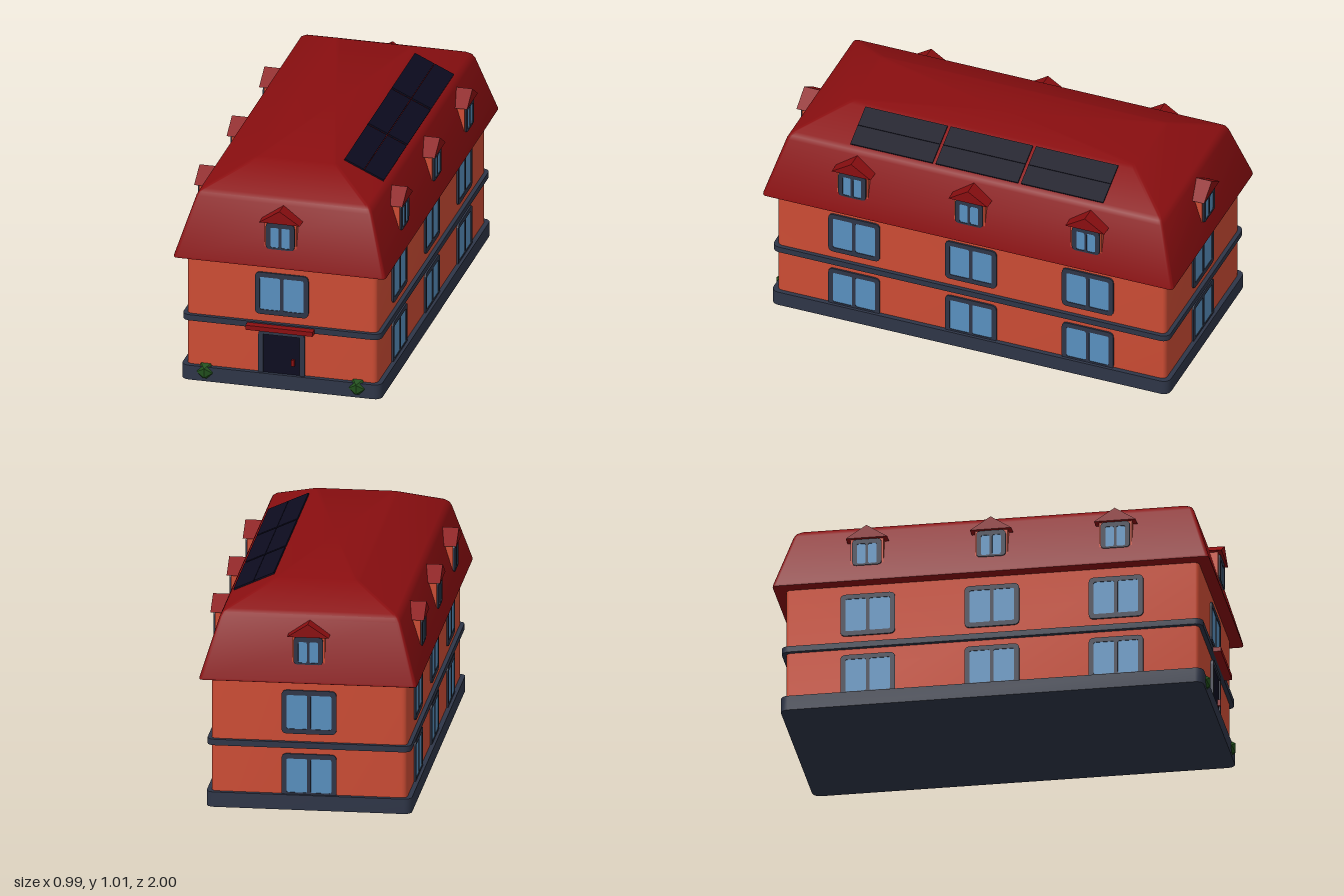
import * as THREE from 'three';
import { toCreasedNormals } from 'three/addons/utils/BufferGeometryUtils.js';

const paint = (name, color) => {
  const m = new THREE.MeshStandardMaterial({ color });
  m.name = name;
  return m;
};

// Closed solid from stacked rounded rectangles: [halfX, halfZ, y, cornerRadius]
function loft(rings) {
  const steps = 4, n = 4 * (steps + 1), pos = [], idx = [];
  for (const [hx, hz, y, r] of rings) {
    for (let c = 0; c < 4; c++) {
      const sx = c === 0 || c === 3 ? 1 : -1, sz = c < 2 ? 1 : -1;
      for (let s = 0; s <= steps; s++) {
        const a = (c + s / steps) * Math.PI / 2;
        pos.push(sx * (hx - r) + r * Math.cos(a), y, sz * (hz - r) + r * Math.sin(a));
      }
    }
  }
  const last = (rings.length - 1) * n, bottom = rings.length * n, top = bottom + 1;
  pos.push(0, rings[0][2], 0, 0, rings[rings.length - 1][2], 0);
  for (let i = 0; i < n; i++) {
    const j = (i + 1) % n;
    for (let k = 0; k < last; k += n) {
      idx.push(k + i, k + n + i, k + j, k + j, k + n + i, k + n + j);
    }
    idx.push(bottom, i, j, top, last + j, last + i);
  }
  const g = new THREE.BufferGeometry();
  g.setAttribute('position', new THREE.Float32BufferAttribute(pos, 3));
  g.setIndex(idx);
  return toCreasedNormals(g, 0.6);
}

// Rounded rectangle outline, added to a Shape or Path
function roundRect(p, x0, y0, x1, y1, r) {
  p.moveTo(x0 + r, y0);
  p.lineTo(x1 - r, y0).quadraticCurveTo(x1, y0, x1, y0 + r);
  p.lineTo(x1, y1 - r).quadraticCurveTo(x1, y1, x1 - r, y1);
  p.lineTo(x0 + r, y1).quadraticCurveTo(x0, y1, x0, y1 - r);
  p.lineTo(x0, y0 + r).quadraticCurveTo(x0, y0, x0 + r, y0);
  return p;
}

const extrude = (shape, depth) =>
  new THREE.ExtrudeGeometry(shape, { depth, bevelEnabled: false, curveSegments: 4 });

export function createModel() {
  const wall = paint('terracotta wall', 0xcc4c34);
  const red = paint('dark red roof', 0x8a0e10);
  const slate = paint('slate trim', 0x2e3547);
  const glass = paint('blue glass', 0x588fbe);
  const navy = paint('dark navy', 0x0c0b1f);
  const green = paint('bush green', 0x214f1c);

  const house = new THREE.Group();
  house.name = 'house';
  const add = (parent, name, geometry, material, x = 0, y = 0, z = 0) => {
    const m = new THREE.Mesh(geometry, material);
    m.name = name;
    m.position.set(x, y, z);
    parent.add(m);
    return m;
  };
  const slab = (hx, hz, y0, y1, r) => loft([[hx, hz, y0, r], [hx, hz, y1, r]]);

  // Main masses
  add(house, 'base', slab(0.467, 0.967, 0, 0.07, 0.035), slate);
  add(house, 'walls', slab(0.445, 0.945, 0.03, 0.62, 0.025), wall);
  add(house, 'floorBand', slab(0.464, 0.964, 0.29, 0.318, 0.035), slate);
  add(house, 'roof', loft([
    [0.485, 0.987, 0.604, 0.012], [0.495, 0.998, 0.608, 0.018], [0.494, 0.997, 0.618, 0.018],
    [0.411, 0.916, 0.886, 0.018], [0.401, 0.906, 0.905, 0.018], [0.385, 0.89, 0.918, 0.018],
    [0.2, 0.705, 1.003, 0.018], [0.18, 0.685, 1.01, 0.015],
  ]), red);

  // Window facing +z: frame with two openings and glass behind
  function makeWindow(y0, y1, half, border, mullion, radius, sill = border) {
    const g = new THREE.Group();
    g.name = 'window';
    const frame = roundRect(new THREE.Shape(), -half, y0, half, y1, radius);
    const inner = half - border;
    for (const s of [-1, 1]) {
      const a = s * mullion, b = s * inner;
      frame.holes.push(roundRect(new THREE.Path(),
        Math.min(a, b), y0 + sill, Math.max(a, b), y1 - border, 0.008));
    }
    add(g, 'windowFrame', extrude(frame, 0.008), slate);
    const h = y1 - y0 - border - sill;
    add(g, 'windowGlass', new THREE.BoxGeometry(inner * 2 + 0.01, h + 0.006, 0.005), glass,
      0, y0 + sill + h / 2, 0.0025);
    return g;
  }

  // Dormer facing +z, its face at local z = 0
  function makeDormer() {
    const g = new THREE.Group();
    g.name = 'dormer';
    add(g, 'dormerWall', new THREE.BoxGeometry(0.15, 0.13, 0.08), wall, 0, 0.765, -0.04);
    const gable = new THREE.Shape([
      new THREE.Vector2(-0.095, 0.823), new THREE.Vector2(0.095, 0.823), new THREE.Vector2(0, 0.885),
    ]);
    add(g, 'dormerRoof', extrude(gable, 0.118), red, 0, 0, -0.1);
    g.add(makeWindow(0.692, 0.82, 0.067, 0.022, 0.006, 0.02, 0.008));
    return g;
  }

  // Set a part against a face of the house: turn it, then slide along and out
  function place(part, angle, along, out) {
    part.rotation.y = angle;
    part.position.set(along * Math.cos(angle) + out * Math.sin(angle), 0,
      -along * Math.sin(angle) + out * Math.cos(angle));
    house.add(part);
  }
  const upper = () => makeWindow(0.355, 0.56, 0.125, 0.023, 0.008, 0.025);
  const lower = () => makeWindow(0.055, 0.26, 0.125, 0.023, 0.008, 0.025);

  // Long sides: three bays each
  for (const angle of [Math.PI / 2, -Math.PI / 2]) {
    for (const along of [-0.568, 0, 0.568]) {
      place(upper(), angle, along, 0.445);
      place(lower(), angle, along, 0.445);
      place(makeDormer(), angle, along, 0.468);
    }
  }
  // Short ends
  for (const angle of [0, Math.PI]) {
    place(upper(), angle, 0, 0.945);
    place(makeDormer(), angle, 0, 0.973);
  }
  place(lower(), Math.PI, 0, 0.945);

  // Front door with surround, handle and canopy
  const door = new THREE.Group();
  door.name = 'frontDoor';
  const surround = roundRect(new THREE.Shape(), -0.108, 0.04, 0.108, 0.28, 0.025);
  surround.holes.push(roundRect(new THREE.Path(), -0.086, 0.05, 0.086, 0.258, 0.002));
  add(door, 'doorFrame', extrude(surround, 0.012), slate);
  add(door, 'doorPanel', new THREE.BoxGeometry(0.176, 0.21, 0.006), navy, 0, 0.155, 0.003);
  add(door, 'doorHandle', new THREE.BoxGeometry(0.014, 0.03, 0.016), red, 0.055, 0.132, 0.012);
  add(door, 'canopy', new THREE.BoxGeometry(0.314, 0.022, 0.055), red, 0, 0.301, 0.0275);
  place(door, 0, 0, 0.945);

  // Solar panels on the left upper slope, three rows of two
  const slope = Math.atan2(0.085, 0.185);
  const solar = new THREE.Group();
  solar.name = 'solarPanels';
  solar.position.set(0.2925, 0.9605, 0);
  solar.rotation.z = -slope;
  for (const z of [-0.418, -0.003, 0.412]) {
    for (const x of [-0.051, 0.051]) {
      add(solar, 'solarPanel', new THREE.BoxGeometry(0.1, 0.008, 0.4), navy, x, 0.003, z);
    }
  }
  house.add(solar);

  // Bushes at the front corners
  for (const x of [-0.355, 0.355]) {
    const bush = new THREE.IcosahedronGeometry(0.043, 0);
    add(house, 'bush', bush, green, x, 0.044, 0.947);
  }
  return house;
}
